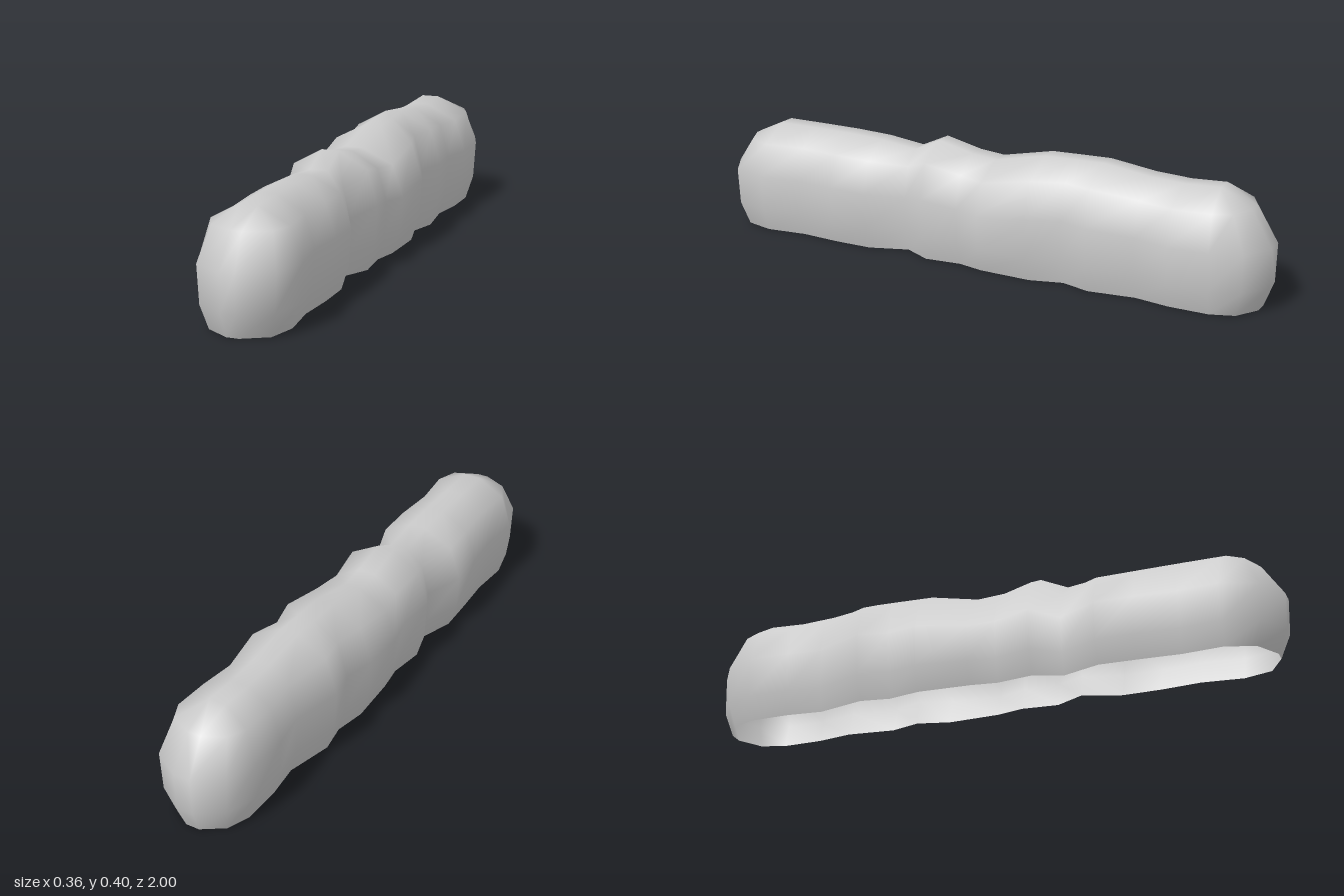
import * as THREE from 'three';
import { mergeVertices } from 'three/addons/utils/BufferGeometryUtils.js';

// Stations along the hedge: z, left edge (-x), right edge (+x), crest height
const STATIONS = [
  [-1.0, -0.02, 0.04, 0.385], [-0.94, -0.11, 0.135, 0.385], [-0.84, -0.148, 0.17, 0.385],
  [-0.7, -0.148, 0.17, 0.378], [-0.58, -0.13, 0.147, 0.383], [-0.42, -0.177, 0.172, 0.403],
  [-0.32, -0.155, 0.137, 0.4], [-0.21, -0.18, 0.175, 0.396], [-0.03, -0.167, 0.17, 0.356],
  [0.06, -0.15, 0.145, 0.364], [0.185, -0.17, 0.16, 0.392], [0.28, -0.122, 0.1, 0.347],
  [0.41, -0.175, 0.157, 0.362], [0.54, -0.167, 0.158, 0.366], [0.68, -0.155, 0.146, 0.366],
  [0.82, -0.165, 0.167, 0.365], [0.94, -0.12, 0.135, 0.365], [1.0, -0.02, 0.03, 0.365],
];

// Layers from ground to crest: height fraction, width factor, how far the rounded ends reach
const LAYERS = [
  [0, 0.79, 0.8], [0.22, 0.95, 0.98], [0.56, 1, 1], [0.86, 0.78, 0.6], [1, 0, 0],
];
const END = 0.82;

function layerPoint([z, left, right, top], [h, w, reach], side) {
  const edge = side < 0 ? left : right;
  const x = w === 0 ? side * 0.03 - 0.005 : edge * w;
  const az = Math.abs(z);
  const zz = az > END ? Math.sign(z) * (END + (az - END) * reach) : z;
  return [x, h * top, zz];
}

function hedgeGeometry() {
  const n = LAYERS.length, cols = n * 2, last = STATIONS.length - 1;
  const pos = [], index = [];
  for (const s of STATIONS) {
    for (let k = 0; k < n; k++) pos.push(...layerPoint(s, LAYERS[k], -1));
    for (let k = n - 1; k >= 0; k--) pos.push(...layerPoint(s, LAYERS[k], 1));
  }
  const quad = (a, b, c, d) => index.push(a, b, c, a, c, d);
  // Sides and crest
  for (let r = 0; r < last; r++) {
    for (let c = 0; c < cols - 1; c++) {
      const a = r * cols + c;
      quad(a, a + cols, a + cols + 1, a + 1);
    }
  }
  // Narrow strips closing the back and front ends; the underside stays open
  for (let k = 0; k < n - 1; k++) {
    const l = k, r = cols - 1 - k, f = last * cols;
    quad(l, l + 1, r - 1, r);
    quad(f + l, f + r, f + r - 1, f + l + 1);
  }
  const g = new THREE.BufferGeometry();
  g.setAttribute('position', new THREE.Float32BufferAttribute(pos, 3));
  g.setIndex(index);
  const merged = mergeVertices(g, 1e-4);
  merged.computeVertexNormals();
  return merged;
}

export function createModel() {
  const group = new THREE.Group();
  group.name = 'hedge';
  const material = new THREE.MeshStandardMaterial({ color: 0xcccccc, side: THREE.DoubleSide });
  const foliage = new THREE.Mesh(hedgeGeometry(), material);
  foliage.name = 'foliageShell';
  group.add(foliage);
  return group;
}
